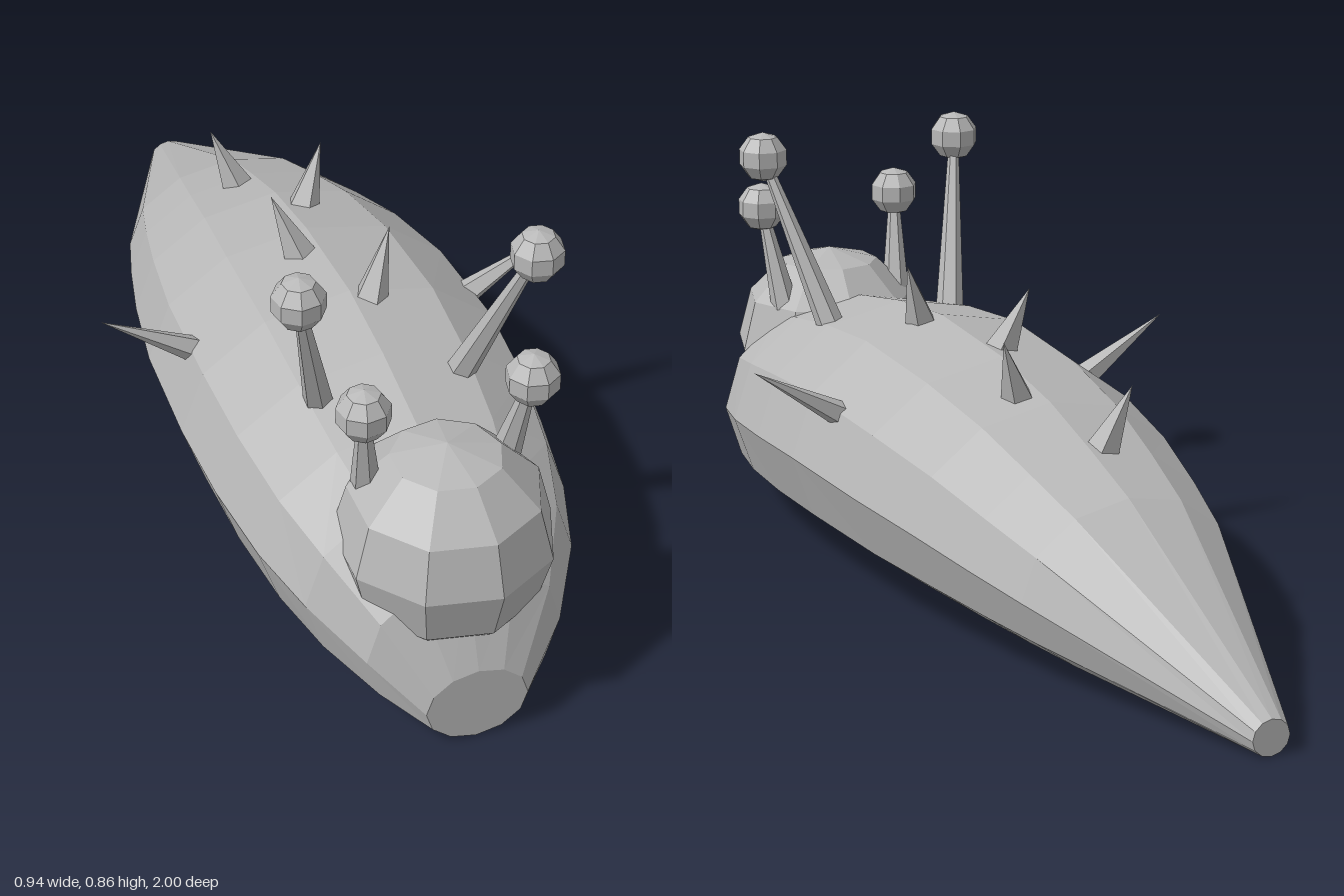
import * as THREE from 'three';

const grey = new THREE.MeshStandardMaterial({ color: 0xb8b8b8, flatShading: true });
grey.name = 'grey';

// Body sections from front to tail: z, half width, half height (belly rests on y = 0)
const SECTIONS = [
  [0.98, 0.1, 0.08], [0.905, 0.19, 0.17], [0.775, 0.265, 0.22], [0.63, 0.308, 0.238],
  [0.45, 0.335, 0.253], [0.26, 0.345, 0.26], [0, 0.335, 0.247], [-0.2, 0.305, 0.225],
  [-0.36, 0.27, 0.197], [-0.5, 0.233, 0.17], [-1, 0.04, 0.036],
];

function addMesh(group, name, geometry) {
  const mesh = new THREE.Mesh(geometry, grey);
  mesh.name = name;
  group.add(mesh);
  return mesh;
}

// Tapered rod between two points; a zero end radius makes a spike
function addRod(group, name, from, to, r0, r1, sides) {
  const a = new THREE.Vector3(...from);
  const b = new THREE.Vector3(...to);
  const dir = b.clone().sub(a);
  const mesh = addMesh(group, name, new THREE.CylinderGeometry(r1, r0, dir.length(), sides));
  mesh.position.copy(a).add(b).multiplyScalar(0.5);
  mesh.quaternion.setFromUnitVectors(new THREE.Vector3(0, 1, 0), dir.normalize());
  return mesh;
}

// Twelve-sided tube reshaped to the sections
function bodyGeometry() {
  const rows = SECTIONS.length - 1;
  const geometry = new THREE.CylinderGeometry(1, 1, 1, 12, rows).rotateX(Math.PI / 2);
  const p = geometry.attributes.position;
  for (let i = 0; i < p.count; i++) {
    const [z, rx, ry] = SECTIONS[Math.round((0.5 - p.getZ(i)) * rows)];
    p.setXYZ(i, p.getX(i) * rx, ry + p.getY(i) * ry, z);
  }
  geometry.computeVertexNormals();
  return geometry;
}

export function createModel() {
  const model = new THREE.Group();
  model.name = 'slug';

  addMesh(model, 'body', bodyGeometry());

  // Nine-sided head sunk into the front of the body
  const head = addMesh(model, 'head', new THREE.SphereGeometry(0.21, 9, 6));
  head.position.set(0, 0.34, 0.79);
  head.rotation.y = Math.PI;

  for (const side of [1, -1]) {
    const label = side > 0 ? 'left' : 'right';

    // Two eye stalks per side, each with a ball on top
    const stalks = [
      ['Upper', [0.14, 0.45, 0.487], [0.228, 0.806, 0.63]],
      ['Lower', [0.135, 0.44, 0.735], [0.161, 0.658, 0.79]],
    ];
    for (const [level, base, tip] of stalks) {
      const from = [base[0] * side, base[1], base[2]];
      const to = [tip[0] * side, tip[1], tip[2]];
      addRod(model, label + level + 'Stalk', from, to, 0.03, 0.01, 6);
      const ball = addMesh(model, label + level + 'EyeBall', new THREE.SphereGeometry(0.053, 8, 5));
      ball.position.set(...to);
      ball.rotation.y = 0.2 * side;
    }

    // Spike on the flank
    addRod(model, label + 'FlankSpike', [0.28 * side, 0.37, 0.155], [0.472 * side, 0.484, 0.158], 0.028, 0, 5);
  }

  // Back spikes, alternating sides: base y, base z, tip y, tip z
  const spikes = [
    [0.49, 0.275, 0.638, 0.24], [0.475, 0.072, 0.615, 0.04],
    [0.435, -0.135, 0.575, -0.168], [0.375, -0.335, 0.515, -0.365],
  ];
  spikes.forEach(([y0, z0, y1, z1], i) => {
    const side = i % 2 ? -1 : 1;
    addRod(model, 'backSpike' + (i + 1), [0.035 * side, y0, z0], [0.087 * side, y1, z1], 0.038, 0, 5);
  });

  return model;
}
